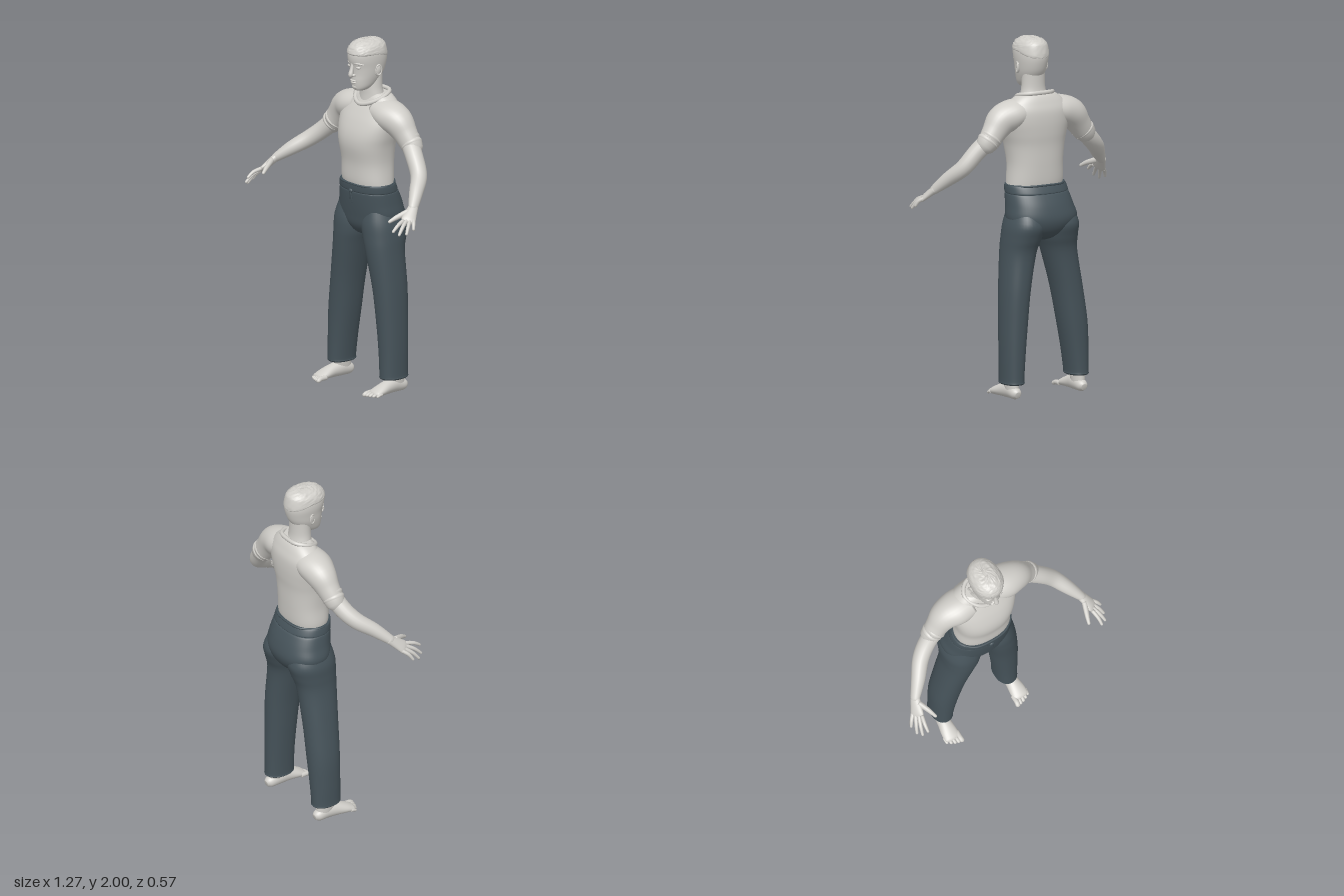
import * as THREE from 'three';

const V = (x, y, z) => new THREE.Vector3(x, y, z);

// Catmull-Rom interpolation of rows of numbers
function smooth(keys, steps) {
  const out = [];
  const at = i => keys[Math.min(keys.length - 1, Math.max(0, i))];
  for (let i = 0; i < keys.length - 1; i++) {
    for (let s = 0; s < steps; s++) {
      const t = s / steps;
      out.push(at(i).map((p1, k) => {
        const p0 = at(i - 1)[k], p2 = at(i + 1)[k], p3 = at(i + 2)[k];
        return 0.5 * (2 * p1 + (p2 - p0) * t + (2 * p0 - 5 * p1 + 4 * p2 - p3) * t * t
          + (3 * p1 - p0 - 3 * p2 + p3) * t * t * t);
      }));
    }
  }
  out.push(keys[keys.length - 1]);
  return out;
}

// Closed skin over rings of points, with end caps, always facing outward
function skin(rings) {
  const n = rings[0].length, m = rings.length, pts = rings.flat(), idx = [];
  for (let i = 0; i < m - 1; i++) for (let j = 0; j < n; j++) {
    const a = i * n + j, b = i * n + (j + 1) % n;
    idx.push(a, b, a + n, b, b + n, a + n);
  }
  for (const end of [0, m - 1]) {
    const c = pts.length;
    pts.push(rings[end].reduce((s, p) => s.add(p), V(0, 0, 0)).divideScalar(n));
    for (let j = 0; j < n; j++) {
      const a = end * n + j, b = end * n + (j + 1) % n;
      end ? idx.push(a, b, c) : idx.push(b, a, c);
    }
  }
  let volume = 0;
  const cross = V(0, 0, 0);
  for (let i = 0; i < idx.length; i += 3)
    volume += pts[idx[i]].dot(cross.crossVectors(pts[idx[i + 1]], pts[idx[i + 2]]));
  if (volume < 0) idx.reverse();
  const g = new THREE.BufferGeometry().setFromPoints(pts);
  g.setIndex(idx);
  g.computeVertexNormals();
  return g;
}

// Upright form, rows of [y, centre x, half width, front z, back z]
function upright(keys, power = 2, sides = 40) {
  const bend = v => Math.sign(v) * Math.abs(v) ** (2 / power);
  return skin(smooth(keys, 5).map(([y, cx, rx, zf, zb]) => Array.from({ length: sides }, (_, j) => {
    const a = j / sides * Math.PI * 2;
    return V(cx + rx * bend(Math.cos(a)), y, (zf + zb) / 2 + (zf - zb) / 2 * bend(Math.sin(a)));
  })));
}

// Limb along a path, rows of [x, y, z, thickness radius, radius along ref], rounded tip
function limb(keys, ref = V(0, 0, 1), sides = 20) {
  const rows = smooth(keys, 5), pos = rows.map(r => V(r[0], r[1], r[2])), rings = [];
  const ring = (p, t, ra, rb) => {
    const b = ref.clone().addScaledVector(t, -ref.dot(t)).normalize();
    const n = V(0, 0, 0).crossVectors(t, b);
    rings.push(Array.from({ length: sides }, (_, j) => {
      const a = j / sides * Math.PI * 2;
      return p.clone().addScaledVector(b, rb * Math.cos(a)).addScaledVector(n, ra * Math.sin(a));
    }));
  };
  rows.forEach((r, i) => {
    const t = pos[Math.min(i + 1, rows.length - 1)].clone().sub(pos[Math.max(i - 1, 0)]).normalize();
    ring(pos[i], t, r[3], r[4]);
    if (i === rows.length - 1) for (const a of [0.5, 1, 1.35])
      ring(pos[i].clone().addScaledVector(t, r[3] * Math.sin(a)), t, r[3] * Math.cos(a), r[4] * Math.cos(a));
  });
  return skin(rings);
}

export function createModel() {
  const model = new THREE.Group();
  const light = new THREE.MeshStandardMaterial({ color: 0xd0cec9 });
  light.name = 'pale grey';
  const dark = new THREE.MeshStandardMaterial({ color: 0x46535a });
  dark.name = 'slate';
  const add = (name, geometry, material = light) => {
    const mesh = new THREE.Mesh(geometry, material);
    mesh.name = name;
    model.add(mesh);
    return mesh;
  };
  const blob = (name, x, y, z, rx, ry, rz, material = light) => {
    const m = add(name, new THREE.SphereGeometry(1, 20, 14), material);
    m.position.set(x, y, z);
    m.scale.set(rx, ry, rz);
    return m;
  };
  const loop = (name, points, r, material = light) => add(name, new THREE.TubeGeometry(
    new THREE.CatmullRomCurve3(points.map(p => V(...p)), true), 64, r, 8, true), material);

  // Shirt
  add('shirtBody', upright([
    [1.15, 0, 0.16, 0, -0.2], [1.2, -0.007, 0.164, 0.014, -0.212], [1.3, -0.008, 0.16, 0.02, -0.22],
    [1.4, -0.007, 0.172, 0.038, -0.226], [1.47, -0.003, 0.187, 0.034, -0.235], [1.54, 0, 0.2, 0.01, -0.24],
    [1.6, 0, 0.195, -0.022, -0.237], [1.645, 0.003, 0.165, -0.05, -0.222],
    [1.675, 0.005, 0.13, -0.065, -0.208], [1.692, 0.006, 0.1, -0.08, -0.195]], 2.3));
  loop('collar', [[0.008, 1.632, -0.032], [0.075, 1.65, -0.055], [0.112, 1.685, -0.125],
    [0.075, 1.698, -0.185], [0.008, 1.7, -0.197], [-0.06, 1.698, -0.185], [-0.1, 1.685, -0.125],
    [-0.06, 1.65, -0.055]], 0.012);

  // Head and neck
  add('neck', upright([[1.62, 0.008, 0.085, -0.05, -0.19], [1.68, 0.008, 0.077, -0.055, -0.175],
    [1.73, 0.008, 0.068, -0.055, -0.168], [1.82, 0.008, 0.066, -0.06, -0.17]]));
  add('head', upright([
    [1.714, 0.01, 0.02, -0.005, -0.05], [1.722, 0.01, 0.038, 0.01, -0.08], [1.742, 0.01, 0.054, 0.016, -0.115],
    [1.775, 0.009, 0.067, 0.02, -0.155], [1.81, 0.008, 0.077, 0.02, -0.18], [1.85, 0.008, 0.083, 0.024, -0.195],
    [1.89, 0.007, 0.088, 0.034, -0.203], [1.925, 0.007, 0.087, 0.035, -0.2], [1.955, 0.007, 0.078, 0.024, -0.188],
    [1.98, 0.007, 0.056, -0.005, -0.16], [1.99, 0.007, 0.02, -0.05, -0.12]], 2.1));
  // Cropped hair with an uneven surface
  const hair = upright([[1.922, 0.007, 0.086, 0.034, -0.2], [1.93, 0.007, 0.089, 0.038, -0.204],
    [1.955, 0.007, 0.082, 0.029, -0.195], [1.975, 0.007, 0.068, 0.012, -0.182],
    [1.99, 0.007, 0.045, -0.02, -0.155], [1.996, 0.007, 0.012, -0.06, -0.11]], 2.2, 56);
  const hp = hair.attributes.position;
  for (let i = 0; i < hp.count; i++) {
    const h = Math.sin(i * 12.9898) * 43758.5453, k = (h - Math.floor(h) - 0.5) * 0.006;
    const back = Math.max(0, -0.09 - hp.getZ(i)) * Math.max(0, 1.96 - hp.getY(i)) * 8;
    hp.setXYZ(i, hp.getX(i) * (1 + k * 5), hp.getY(i) + k - back, hp.getZ(i) + k * 0.5);
  }
  hair.computeVertexNormals();
  add('hair', hair);
  // Face
  add('nose', limb([[0.008, 1.872, 0.022, 0.007, 0.008], [0.008, 1.84, 0.03, 0.011, 0.009],
    [0.008, 1.812, 0.036, 0.014, 0.014], [0.008, 1.803, 0.032, 0.01, 0.012]]));
  blob('upperLip', 0.008, 1.774, 0.017, 0.026, 0.006, 0.011);
  blob('lowerLip', 0.008, 1.763, 0.016, 0.022, 0.007, 0.011);
  blob('chin', 0.009, 1.738, 0.003, 0.025, 0.015, 0.015);
  for (const s of [-1, 1]) {
    blob('nostril', 0.008 + s * 0.013, 1.808, 0.024, 0.009, 0.008, 0.012);
    blob('eyelid', 0.008 + s * 0.034, 1.853, 0.011, 0.017, 0.008, 0.012);
    add('brow', limb([[0.008 + s * 0.012, 1.872, 0.023, 0.006, 0.006], [0.008 + s * 0.036, 1.877, 0.018, 0.007, 0.007],
      [0.008 + s * 0.06, 1.87, -0.004, 0.005, 0.005]]));
    const ear = blob('ear', 0.008 + s * 0.083, 1.832, -0.088, 0.009, 0.031, 0.019);
    ear.rotation.set(-0.2, s * -0.3, s * -0.12);
    const rim = add('earRim', new THREE.TorusGeometry(0.02, 0.004, 8, 24));
    rim.position.set(0.008 + s * 0.09, 1.834, -0.09);
    rim.scale.set(0.85, 1.4, 1);
    rim.rotation.set(0, Math.PI / 2 - s * 0.3, 0);
  }

  // Arms: each side has its own pose; fingers run from index to little finger
  const arms = [
    { s: -1, cuffZ: -0.112, elbow: [-0.43, 1.337, -0.042], fore: [-0.492, 1.281, 0.035], wrist: [-0.55, 1.225, 0.1],
      tips: [[-0.575, 1.14, 0.278], [-0.603, 1.105, 0.268], [-0.622, 1.092, 0.24], [-0.632, 1.105, 0.195]],
      thumb: [-0.5, 1.172, 0.232] },
    { s: 1, cuffZ: -0.142, elbow: [0.438, 1.305, -0.088], fore: [0.495, 1.237, -0.02], wrist: [0.545, 1.172, 0.045],
      tips: [[0.575, 1.075, 0.212], [0.605, 1.06, 0.195], [0.62, 1.06, 0.155], [0.626, 1.08, 0.11]],
      thumb: [0.51, 1.112, 0.183] }];
  for (const { s, cuffZ, elbow, fore, wrist, tips, thumb } of arms) {
    const side = s > 0 ? 'left' : 'right';
    add(side + 'Sleeve', limb([[s * 0.07, 1.6, -0.125, 0.07, 0.09], [s * 0.15, 1.582, -0.125, 0.083, 0.1],
      [s * 0.22, 1.553, -0.128, 0.084, 0.085], [s * 0.27, 1.497, (cuffZ - 0.13) / 2, 0.07, 0.066],
      [s * 0.306, 1.45, cuffZ, 0.062, 0.058]], undefined, 32));
    // Folded cuff in two bands
    for (const [o, r] of [[0, 0.064], [0.02, 0.063]])
      add(side + 'Cuff', limb([[s * (0.287 + o), 1.474 - o, cuffZ, r - 0.003, r - 0.006],
        [s * (0.293 + o), 1.468 - o, cuffZ, r + 0.001, r - 0.002],
        [s * (0.299 + o), 1.461 - o, cuffZ, r - 0.002, r - 0.005]], undefined, 32));
    add(side + 'Arm', limb([[s * 0.29, 1.465, cuffZ, 0.053, 0.05], [s * 0.365, 1.395, cuffZ + 0.025, 0.049, 0.049],
      [...elbow, 0.046, 0.046], [...fore, 0.039, 0.039], [...wrist, 0.024, 0.028]]));
    const w = V(...wrist), across = V(...tips[0]).sub(V(...tips[3])).normalize();
    const mid = V(...tips[1]).add(V(...tips[2])).multiplyScalar(0.5);
    const along = q => w.clone().lerp(mid, q);
    add(side + 'Palm', limb([[...along(-0.06), 0.022, 0.027], [...along(0.22), 0.019, 0.034],
      [...along(0.42), 0.016, 0.04], [...along(0.5), 0.012, 0.038]], across));
    tips.forEach((tip, i) => {
      const base = along(0.46).addScaledVector(across, 0.029 - i * 0.0193), end = V(...tip);
      const bend = base.clone().lerp(end, 0.55).add(V(s * 0.003, 0.007, 0.002));
      add(side + 'Finger', limb([[...base, 0.0115, 0.0115], [...bend, 0.0105, 0.0105], [...end, 0.008, 0.008]], across, 12));
    });
    const root = along(0.12).addScaledVector(across, 0.016), end = V(...thumb);
    const bend = root.clone().lerp(end, 0.55).addScaledVector(across, 0.007);
    add(side + 'Thumb', limb([[...root, 0.016, 0.018], [...bend, 0.013, 0.014], [...end, 0.009, 0.009]], across, 12));
  }

  // Trousers
  add('hips', upright([
    [1.185, -0.008, 0.166, 0.014, -0.212], [1.18, -0.009, 0.176, 0.021, -0.222], [1.145, -0.012, 0.182, 0.02, -0.238],
    [1.138, -0.012, 0.178, 0.014, -0.236], [1.13, -0.013, 0.183, 0.017, -0.245], [1.07, -0.018, 0.194, 0.012, -0.272],
    [1.0, -0.025, 0.205, 0.002, -0.287], [0.94, -0.022, 0.17, -0.01, -0.27], [0.895, -0.02, 0.08, -0.04, -0.23],
    [0.875, -0.02, 0.03, -0.08, -0.18]], 2.25, 56), dark);
  loop('waistSeam', [[-0.012, 1.182, 0.018], [0.1, 1.182, -0.003], [0.162, 1.182, -0.1], [0.1, 1.184, -0.2],
    [-0.012, 1.186, -0.222], [-0.12, 1.184, -0.2], [-0.18, 1.182, -0.1], [-0.12, 1.182, -0.003]], 0.006, dark);
  blob('drawstringKnot', -0.012, 1.142, 0.02, 0.015, 0.012, 0.009, dark);
  for (const [dx, len] of [[-0.012, 0.045], [0.008, 0.065]])
    add('drawstring', limb([[-0.012, 1.142, 0.024, 0.004, 0.004], [-0.012 + dx * 0.7, 1.142 - len / 2, 0.02, 0.004, 0.004],
      [-0.012 + dx, 1.142 - len, 0.015, 0.004, 0.004]], V(1, 0, 0), 8), dark);
  add('rightTrouserLeg', upright([
    [1.06, -0.125, 0.075, -0.02, -0.23], [0.97, -0.128, 0.109, 0.003, -0.272], [0.89, -0.134, 0.107, 0.006, -0.253],
    [0.8, -0.152, 0.094, 0, -0.228], [0.6, -0.195, 0.085, -0.018, -0.22], [0.4, -0.229, 0.081, -0.03, -0.218],
    [0.24, -0.247, 0.069, -0.036, -0.213], [0.12, -0.256, 0.06, -0.038, -0.21], [0.105, -0.256, 0.062, -0.038, -0.212],
    [0.097, -0.256, 0.055, -0.045, -0.205]], 2.2), dark);
  add('leftTrouserLeg', upright([
    [1.06, 0.085, 0.075, -0.025, -0.24], [0.97, 0.085, 0.105, -0.004, -0.28], [0.89, 0.097, 0.103, -0.003, -0.26],
    [0.8, 0.113, 0.093, -0.008, -0.235], [0.6, 0.14, 0.081, -0.03, -0.235], [0.4, 0.153, 0.073, -0.045, -0.231],
    [0.24, 0.16, 0.066, -0.053, -0.228], [0.11, 0.163, 0.061, -0.055, -0.226], [0.092, 0.163, 0.063, -0.055, -0.228],
    [0.084, 0.163, 0.056, -0.062, -0.22]], 2.2), dark);

  // Bare feet with toes
  for (const [side, s, x, z] of [['right', -1, -0.262, 0.008], ['left', 1, 0.17, -0.01]]) {
    add(side + 'Ankle', upright([[0.03, x, 0.032, z - 0.1, z - 0.2], [0.09, x, 0.036, z - 0.08, z - 0.195],
      [0.16, x, 0.04, z - 0.08, z - 0.19]]));
    add(side + 'Foot', limb([[x, 0.03, z - 0.212, 0.018, 0.016], [x, 0.036, z - 0.19, 0.032, 0.032],
      [x, 0.046, z - 0.13, 0.042, 0.036], [x + s * 0.004, 0.042, z - 0.075, 0.038, 0.038],
      [x + s * 0.007, 0.032, z - 0.02, 0.028, 0.045], [x + s * 0.007, 0.022, z + 0.02, 0.018, 0.046]], V(1, 0, 0), 28));
    for (let i = 0; i < 5; i++) {
      const r = i ? 0.0105 - i * 0.0004 : 0.014, tx = x + s * (i ? -0.03 + i * 0.0195 : -0.03);
      const front = z + 0.058 - i * i * 0.0018;
      add(side + 'Toe', limb([[tx, 0.022, z, r, r], [tx, 0.021, front - 0.018, r * 0.95, r],
        [tx - s * 0.002, 0.014, front, r * 0.85, r]], V(1, 0, 0), 12));
    }
  }
  return model;
}
